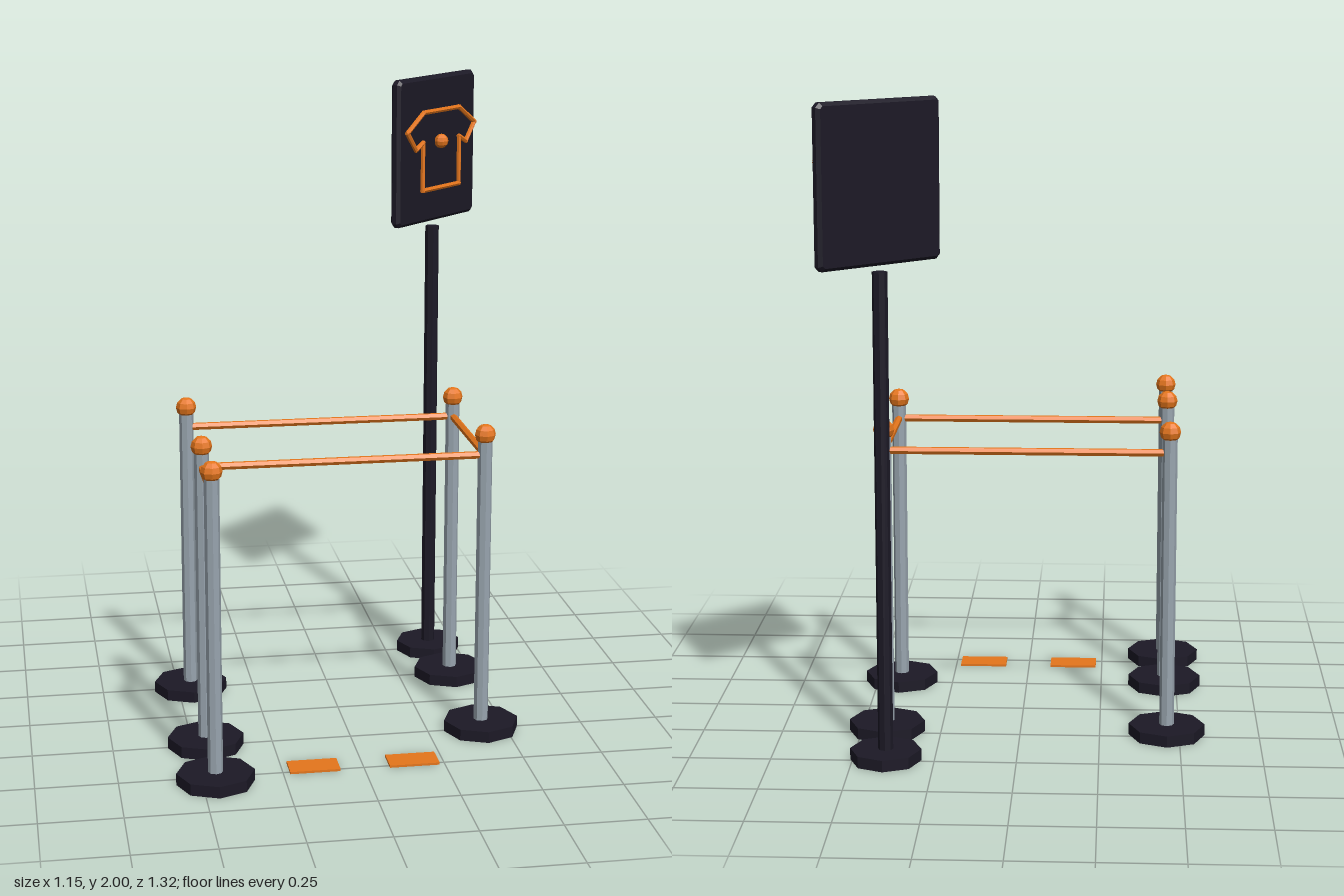
import * as THREE from 'three';

export function createModel() {
  const model = new THREE.Group();
  const mat = (color) => new THREE.MeshStandardMaterial({ color, flatShading: true });
  const dark = mat(0x1c1926), steel = mat(0x98a4ae), orange = mat(0xe5761c);

  const add = (parent, name, geometry, material, x = 0, y = 0, z = 0) => {
    const mesh = new THREE.Mesh(geometry, material);
    mesh.name = name;
    mesh.position.set(x, y, z);
    parent.add(mesh);
    return mesh;
  };

  // Straight bar between two points
  const bar = (parent, name, a, b, radius, sides, extra = 0) => {
    const dir = b.clone().sub(a);
    const mid = a.clone().add(b).multiplyScalar(0.5);
    const geo = new THREE.CylinderGeometry(radius, radius, dir.length() + extra, sides);
    const mesh = add(parent, name, geo, orange, mid.x, mid.y, mid.z);
    mesh.quaternion.setFromUnitVectors(new THREE.Vector3(0, 1, 0), dir.normalize());
  };

  // Octagonal foot with an upright
  const stand = (name, x, z, footRadius, top, material) => {
    const g = new THREE.Group();
    g.name = name;
    g.position.set(x, 0, z);
    add(g, 'base', new THREE.CylinderGeometry(footRadius, footRadius, 0.036, 8), dark, 0, 0.018, 0);
    add(g, 'upright', new THREE.CylinderGeometry(0.023, 0.023, top - 0.03, 8), material, 0, (top + 0.03) / 2, 0);
    model.add(g);
    return g;
  };

  // Queue posts with ball caps, joined by ropes
  const posts = [[-0.46, -0.23], [0.42, -0.23], [0.42, 0.255], [-0.46, 0.255], [-0.46, 0.54]];
  posts.forEach(([x, z], i) => {
    const post = stand('queuePost', x, z, 0.119, 0.965, steel);
    add(post, 'ballCap', new THREE.SphereGeometry(0.033, 8, 6), orange, 0, 0.973, 0);
    if (i > 0) {
      const [px, pz] = posts[i - 1];
      bar(model, 'rope', new THREE.Vector3(px, 0.908, pz), new THREE.Vector3(x, 0.908, z), 0.012, 6);
    }
  });

  // Floor markers
  for (const x of [-0.152, 0.156]) {
    add(model, 'floorMarker', new THREE.BoxGeometry(0.155, 0.007, 0.086), orange, x, 0.0035, 0.473);
  }

  // Sign stand and its angled board
  stand('signPost', 0.398, -0.49, 0.109, 1.5, dark);
  const sign = new THREE.Group();
  sign.name = 'sign';
  sign.position.set(0.4, 1.76, -0.495);
  sign.rotation.y = Math.PI / 4;
  model.add(sign);

  // Board with clipped corners and bevelled edges
  const w = 0.217, h = 0.23, c = 0.008, bevel = 0.01;
  const outline = new THREE.Shape([
    [-w + c, -h], [w - c, -h], [w, -h + c], [w, h - c],
    [w - c, h], [-w + c, h], [-w, h - c], [-w, -h + c],
  ].map(([x, y]) => new THREE.Vector2(x, y)));
  const board = new THREE.ExtrudeGeometry(outline, {
    depth: 0.016, bevelEnabled: true, bevelSize: bevel, bevelThickness: bevel, bevelSegments: 1,
  });
  board.translate(0, 0, -0.008);
  add(sign, 'board', board, dark);

  // Shirt outline: one half, mirrored to close the loop
  const half = [[0.105, 0.128], [0.2, 0.07], [0.149, 0.01], [0.108, 0.03], [0.108, -0.128]];
  const shirt = [...half, ...half.map(([x, y]) => [-x, y]).reverse()]
    .map(([x, y]) => new THREE.Vector3(x, y, 0.032));
  shirt.forEach((p, i) => {
    bar(sign, 'shirtOutline', p, shirt[(i + 1) % shirt.length], 0.008, 6, 0.008);
  });
  add(sign, 'shirtBadge', new THREE.SphereGeometry(0.024, 8, 6), orange, 0, 0.025, 0.032);

  return model;
}
